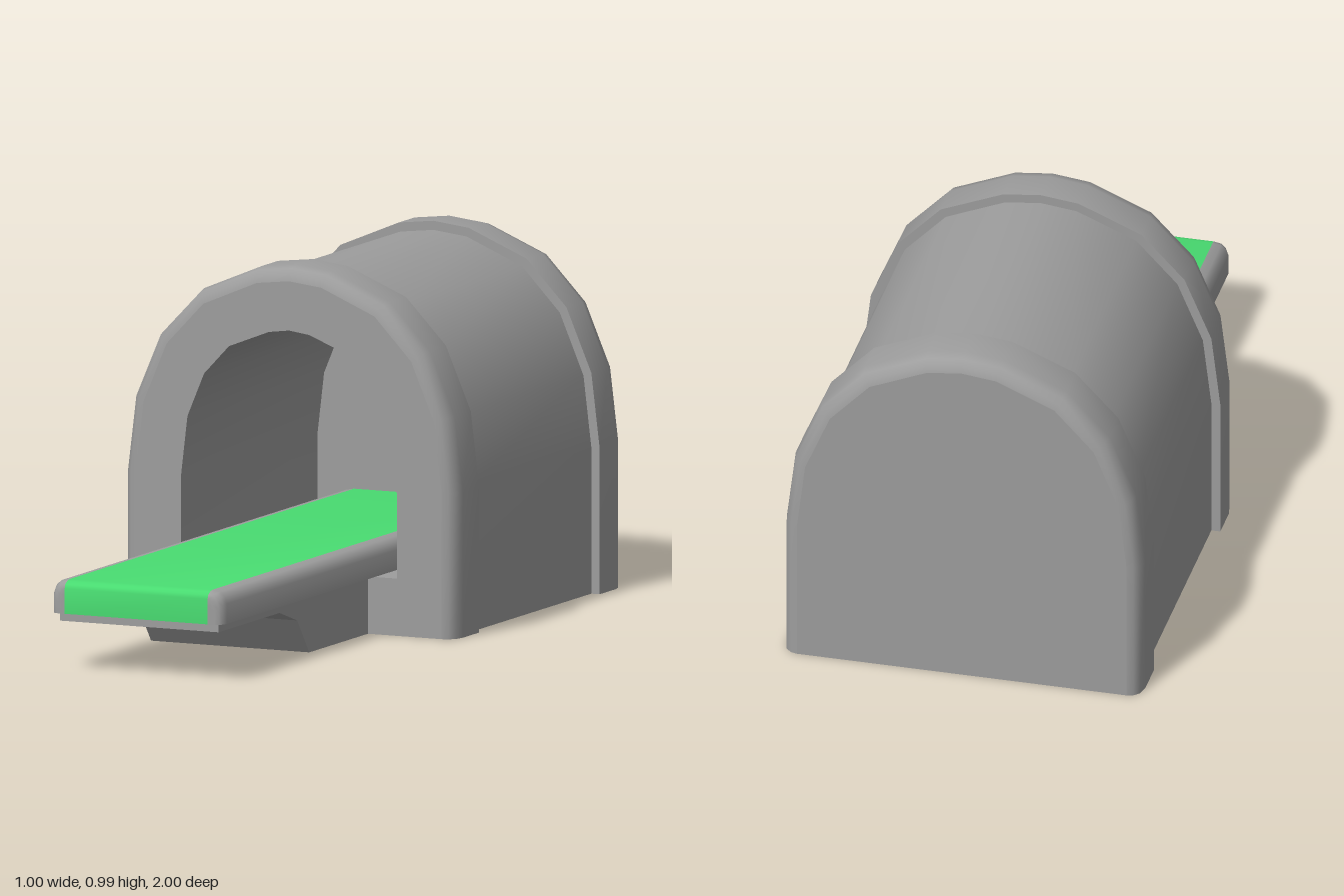
import * as THREE from 'three';
import { toCreasedNormals } from 'three/addons/utils/BufferGeometryUtils.js';

const grey = new THREE.MeshStandardMaterial({ color: 0x9d9d9d, side: THREE.DoubleSide });
const green = new THREE.MeshStandardMaterial({ color: 0x48da70, side: THREE.DoubleSide });

// Skin a list of equally long rows of [x, y, z] points.
function loft(rows, crease = 0.85) {
  const n = rows[0].length, index = [];
  for (let r = 0; r < rows.length - 1; r++) {
    for (let k = 0; k < n - 1; k++) {
      const a = r * n + k, b = a + n;
      index.push(a, b, a + 1, a + 1, b, b + 1);
    }
  }
  const g = new THREE.BufferGeometry();
  g.setAttribute('position', new THREE.Float32BufferAttribute(rows.flat(2), 3));
  g.setIndex(index);
  return toCreasedNormals(g, crease);
}

// Mirror the +x half of an arch (foot to crown) to get the full outline.
const mirrorArch = half => [...half, ...half.slice(0, -1).reverse().map(([x, y]) => [-x, y])];

const OUTER = [[0.5, 0], [0.5, 0.4], [0.475, 0.605], [0.4, 0.78], [0.28, 0.905], [0.105, 0.978], [0, 0.99]];
const BORE = [[0.325, 0.157], [0.325, 0.39], [0.305, 0.56], [0.255, 0.68], [0.18, 0.76], [0.06, 0.807], [0, 0.815]];

// Outer arch shrunk by an inset, feet staying on the ground.
function housingArch(inset) {
  return mirrorArch(OUTER.map(([x, y]) => [
    x * (0.5 - inset) / 0.5,
    y > 0.4 ? 0.4 + (y - 0.4) * (0.59 - inset) / 0.59 : y,
  ]));
}

const atZ = (points, z) => points.map(([x, y]) => [x, y, z]);

function flatFace(points, z) {
  const g = new THREE.ShapeGeometry(new THREE.Shape(points.map(p => new THREE.Vector2(...p))));
  return g.translate(0, 0, z);
}

export function createModel() {
  const group = new THREE.Group();
  const add = (name, geometry, material = grey) => {
    const mesh = new THREE.Mesh(geometry, material);
    mesh.name = name;
    group.add(mesh);
    return mesh;
  };

  // Housing: arched shell, open below, with a raised rounded collar at each end
  const profile = [
    [0.04, 0.05], [0.022, 0.045], [0.007, 0.03], [0, 0], [0, -0.1], [0.025, -0.1],
    [0.025, -0.85], [0, -0.85], [0, -0.95], [0.007, -0.98], [0.022, -0.995], [0.04, -1],
  ];
  add('housingShell', loft(profile.map(([inset, z]) => atZ(housingArch(inset), z)).reverse()));

  // Front panel with the bore opening and a slot for the table support
  const bore = mirrorArch(BORE);
  add('frontPanel', flatFace([
    ...housingArch(0.04), [-0.238, 0], [-0.238, 0.157],
    ...[...bore].reverse(), [0.238, 0.157], [0.238, 0],
  ], 0.05));
  const back = add('backPanel', flatFace(housingArch(0.04), 0));
  back.rotation.y = Math.PI;
  back.position.z = -1;

  // Bore: tunnel lining, floor and end wall
  const lining = [...bore, bore[0]];
  add('boreLining', loft([atZ(lining, 0.05), atZ(lining, -0.8)]));
  add('boreEnd', flatFace(bore, -0.8));

  // Table: stations of [z, inset] rounding off towards the front end
  const stations = [[-0.8, 0], [0.97, 0], [0.985, 0.004], [0.996, 0.011], [1, 0.022]];
  const railSection = i => [
    [0, 0.157], [0.259 - i, 0.157], [0.259 - i, 0.212 - i], [0.252 - i, 0.232 - i],
    [0.238 - i * 0.6, 0.244 - i], [0.215, 0.248 - i],
  ];
  for (const [name, side] of [['leftTableRail', 1], ['rightTableRail', -1]]) {
    const rows = stations.map(([z, i]) => railSection(i).map(([x, y]) => [side * x, y, z]));
    // End face of the rail, folded in to the mattress edge
    rows.push(railSection(0.022).map(([, y], k) => [k ? side * 0.215 : 0, y, 1]));
    add(name, loft(side > 0 ? rows.reverse() : rows));
  }

  // Mattress: coloured strip wrapping over the front end
  const strip = stations.map(([z, i]) => [[-0.215, 0.248 - i, z], [0.215, 0.248 - i, z]]);
  strip.push([[-0.215, 0.157, 1], [0.215, 0.157, 1]]);
  add('mattress', loft(strip), green);

  // Support: stepped bracket under the table, extruded across x
  const bracket = new THREE.Shape([
    [0.045, 0], [0.415, 0], [0.49, 0.098], [0.6, 0.134], [0.98, 0.134], [0.98, 0.157], [0.045, 0.157],
  ].map(p => new THREE.Vector2(...p)));
  const support = new THREE.ExtrudeGeometry(bracket, { depth: 0.476, bevelEnabled: false });
  support.rotateY(-Math.PI / 2).translate(0.238, 0, 0);
  add('tableSupport', support);

  return group;
}
